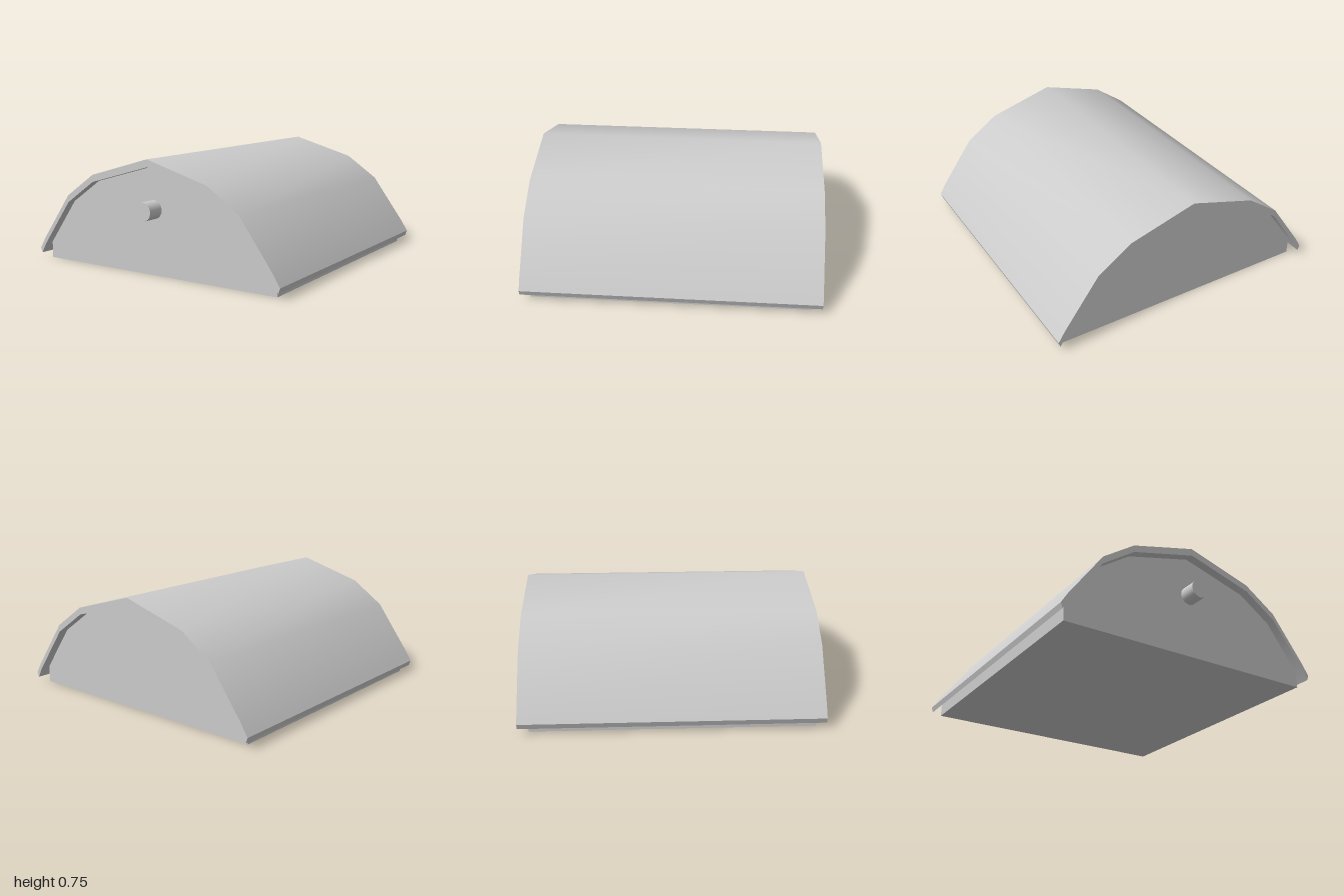
import * as THREE from 'three';
import { toCreasedNormals } from 'three/addons/utils/BufferGeometryUtils.js';

const material = new THREE.MeshStandardMaterial({ color: 0xcccccc });

// Half profiles from the ridge down to the right-hand eave
const outer = [[0, 0.75], [0.455, 0.62], [0.68, 0.465], [0.91, 0.15], [0.957, 0.075]];
const inner = [[0, 0.7], [0.455, 0.573], [0.68, 0.418], [0.905, 0.11]];

// Full arch from the -x side to the +x side
const arch = (half) => [
  ...half.slice(1).reverse().map(([x, y]) => [-x, y]),
  ...half,
];

// Extrude a closed outline from z0 to z1, smooth across the shallow bends
function prism(name, points, z0, z1) {
  const shape = new THREE.Shape(points.map(([x, y]) => new THREE.Vector2(x, y)));
  const geometry = new THREE.ExtrudeGeometry(shape, { depth: z1 - z0, bevelEnabled: false });
  geometry.translate(0, 0, z0);
  const mesh = new THREE.Mesh(toCreasedNormals(geometry, 0.62), material);
  mesh.name = name;
  return mesh;
}

export function createModel() {
  const group = new THREE.Group();
  group.name = 'archedBox';

  // Thin arched cover with overhanging eaves
  const underside = [...inner, [0.945, 0.04]];
  group.add(prism('cover', [...arch(outer), ...arch(underside).reverse()], -1, 0.945));

  // Solid body filling the arch, with a flat base
  group.add(prism('body', [[-0.905, 0], ...arch(inner), [0.905, 0]], -0.935, 0.885));

  // Round peg on the front wall
  const peg = new THREE.Mesh(new THREE.CylinderGeometry(0.06, 0.06, 0.14, 32), material);
  peg.name = 'frontPeg';
  peg.rotation.x = Math.PI / 2;
  peg.position.set(0.005, 0.427, 0.93);
  group.add(peg);

  return group;
}
